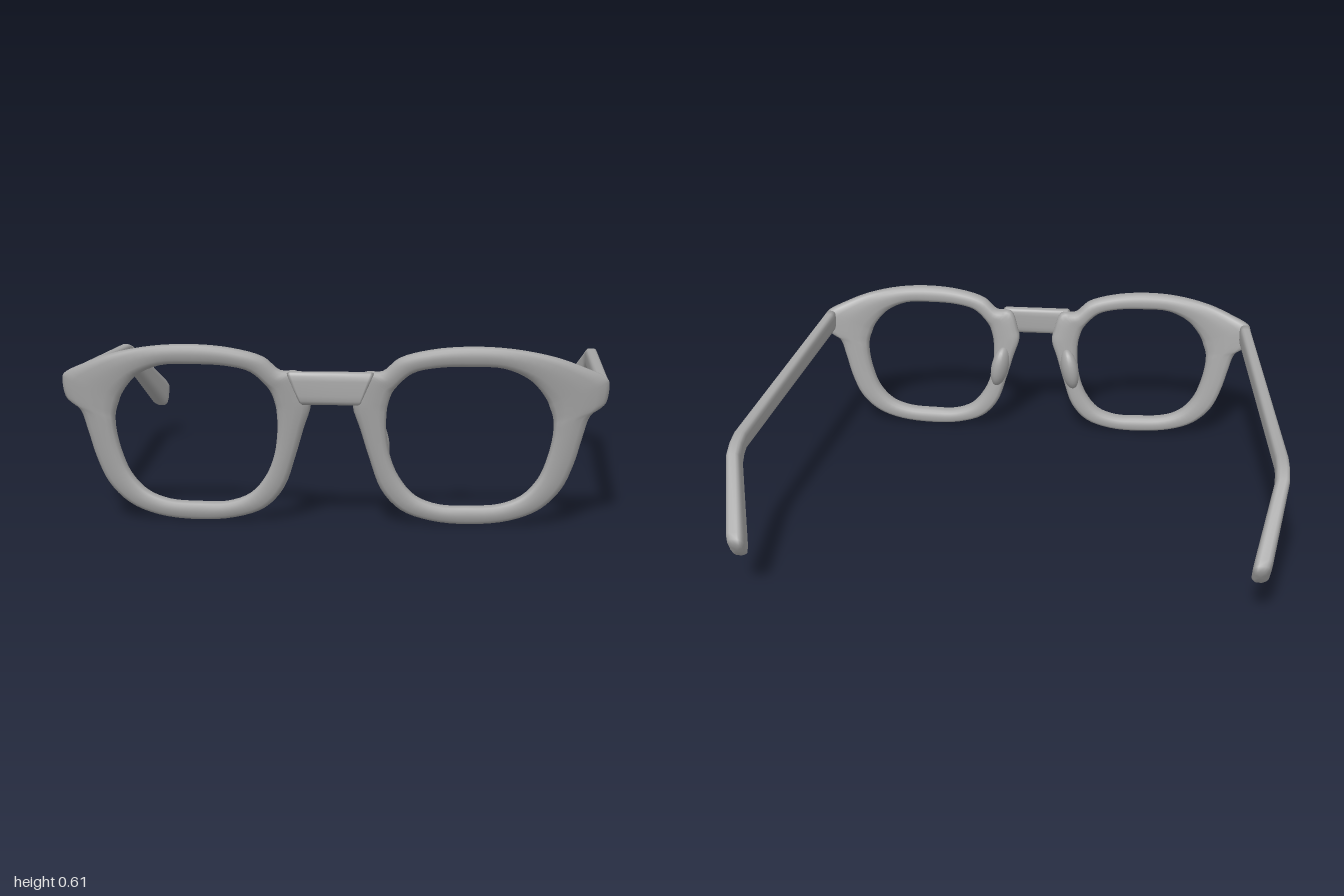
import * as THREE from 'three';

const frameMat = new THREE.MeshStandardMaterial({ color: 0xa6a6a6 });
frameMat.name = 'frame grey';

const V = (x, y, z) => new THREE.Vector3(x, y, z);

// Boxy-to-round unit section: n points [u, v]
function section(n, power) {
  const s = (c) => Math.sign(c) * Math.pow(Math.abs(c), power);
  return Array.from({ length: n }, (_, i) => {
    const a = ((i + 0.5) / n) * Math.PI * 2;
    return [s(Math.cos(a)), s(Math.sin(a))];
  });
}

// Skin through rings of points; closed = endless loop, otherwise both ends are capped
function loft(name, rings, closed) {
  const n = rings[0].length, m = rings.length, pts = rings.flat(), tris = [];
  for (let r = 0; r < (closed ? m : m - 1); r++) {
    for (let i = 0; i < n; i++) {
      const a = r * n + i, b = r * n + (i + 1) % n;
      const c = ((r + 1) % m) * n + i, d = ((r + 1) % m) * n + (i + 1) % n;
      tris.push([a, b, d], [a, d, c]);
    }
  }
  if (!closed) {
    for (const r of [0, m - 1]) {
      const mid = V(0, 0, 0);
      rings[r].forEach((p) => mid.addScaledVector(p, 1 / n));
      const k = pts.push(mid) - 1;
      for (let i = 0; i < n; i++) {
        const a = r * n + i, b = r * n + (i + 1) % n;
        tris.push(r === 0 ? [b, a, k] : [a, b, k]);
      }
    }
  }
  // Turn all faces outward, judged by the signed volume
  let volume = 0;
  for (const [a, b, c] of tris) volume += pts[a].dot(V().crossVectors(pts[b], pts[c]));
  if (volume < 0) tris.forEach((t) => t.reverse());
  const g = new THREE.BufferGeometry().setFromPoints(pts);
  g.setIndex(tris.flat());
  g.computeVertexNormals();
  const mesh = new THREE.Mesh(g, frameMat);
  mesh.name = name;
  return mesh;
}

// Depth of the front: leans back towards the bottom and wraps towards the temples
function frontDepth(x, y) {
  const wrap = x > 0.5 ? 0.3 * (x - 0.5) ** 2 : 0.12 * (x - 0.5) ** 2;
  return 0.787 + 0.117 * (y - 0.55) - wrap;
}

// Rim outline pairs, clockwise from the top: outer x, y, inner x, y
const rimPairs = [
  [0.46, 0.617, 0.46, 0.55], [0.60, 0.61, 0.57, 0.545], [0.74, 0.582, 0.65, 0.51],
  [0.84, 0.545, 0.69, 0.47], [0.905, 0.515, 0.715, 0.43], [0.918, 0.50, 0.722, 0.41],
  [0.912, 0.43, 0.73, 0.39], [0.895, 0.41, 0.735, 0.37], [0.86, 0.385, 0.737, 0.35],
  [0.835, 0.31, 0.735, 0.31], [0.81, 0.22, 0.72, 0.24], [0.77, 0.13, 0.69, 0.165],
  [0.70, 0.06, 0.635, 0.105], [0.60, 0.02, 0.56, 0.075], [0.46, 0.005, 0.45, 0.068],
  [0.33, 0.015, 0.36, 0.07], [0.23, 0.05, 0.28, 0.10], [0.165, 0.12, 0.225, 0.165],
  [0.125, 0.23, 0.195, 0.24], [0.095, 0.33, 0.183, 0.33], [0.07, 0.41, 0.185, 0.39],
  [0.078, 0.45, 0.188, 0.41], [0.108, 0.525, 0.20, 0.45], [0.17, 0.53, 0.215, 0.475],
  [0.225, 0.575, 0.27, 0.525], [0.33, 0.605, 0.35, 0.545],
];

function rim(side) {
  const curve = (k) => new THREE.CatmullRomCurve3(
    rimPairs.map((p) => V(p[k], p[k + 1], 0)), true, 'centripetal');
  const outer = curve(0), inner = curve(2), shape = section(14, 0.75), steps = 104;
  const rings = [];
  for (let s = 0; s < steps; s++) {
    const o = outer.getPoint(s / steps), i = inner.getPoint(s / steps);
    rings.push(shape.map(([u, v]) => {
      const p = i.clone().lerp(o, (u + 1) / 2);
      return V(side * p.x, p.y, frontDepth(p.x, p.y) + 0.031 * v);
    }));
  }
  return loft('rim', rings, true);
}

// Temple stations: x, y, z, half width, half height
const templePath = [
  [0.894, 0.472, 0.725, 0.023, 0.042], [0.896, 0.471, 0.68, 0.023, 0.042],
  [0.974, 0.425, -0.42, 0.024, 0.037], [0.975, 0.412, -0.465, 0.025, 0.039],
  [0.972, 0.392, -0.51, 0.026, 0.042], [0.905, 0.205, -0.765, 0.032, 0.061],
  [0.899, 0.191, -0.787, 0.03, 0.056], [0.896, 0.184, -0.798, 0.02, 0.038],
];

function temple(side) {
  const shape = section(16, 0.55), last = templePath.length - 1;
  return loft('temple', templePath.map(([x, y, z, w, h], i) => {
    const a = templePath[Math.max(0, i - 1)], b = templePath[Math.min(last, i + 1)];
    const dy = b[1] - a[1], dz = b[2] - a[2], len = Math.hypot(dy, dz);
    return shape.map(([u, v]) => V(side * (x + u * w), y - (v * h * dz) / len, z + (v * h * dy) / len));
  }), false);
}

// Nose bridge with ends slanting outward at the top
function bridge() {
  const shape = section(16, 0.5);
  const stations = [[-1, 0.9], [-0.93, 1], [0, 1], [0.93, 1], [1, 0.9]];
  return loft('bridge', stations.map(([t, s]) => shape.map(([u, v]) =>
    V(t * (0.122 + 0.022 * u), 0.475 + 0.055 * u * s, 0.799 + 0.024 * v * s))), false);
}

function nosePad(side) {
  const g = new THREE.SphereGeometry(1, 20, 14).scale(0.036, 0.09, 0.05);
  const pad = new THREE.Mesh(g, frameMat);
  pad.name = 'nosePad';
  pad.position.set(side * 0.152, 0.285, 0.717);
  pad.rotation.set(0.1, side * -0.35, side * 0.2);
  return pad;
}

export function createModel() {
  const model = new THREE.Group();
  model.name = 'eyeglasses';
  model.add(bridge());
  for (const side of [1, -1]) {
    const half = new THREE.Group();
    half.name = side > 0 ? 'leftHalf' : 'rightHalf';
    half.add(rim(side), temple(side), nosePad(side));
    model.add(half);
  }
  return model;
}
